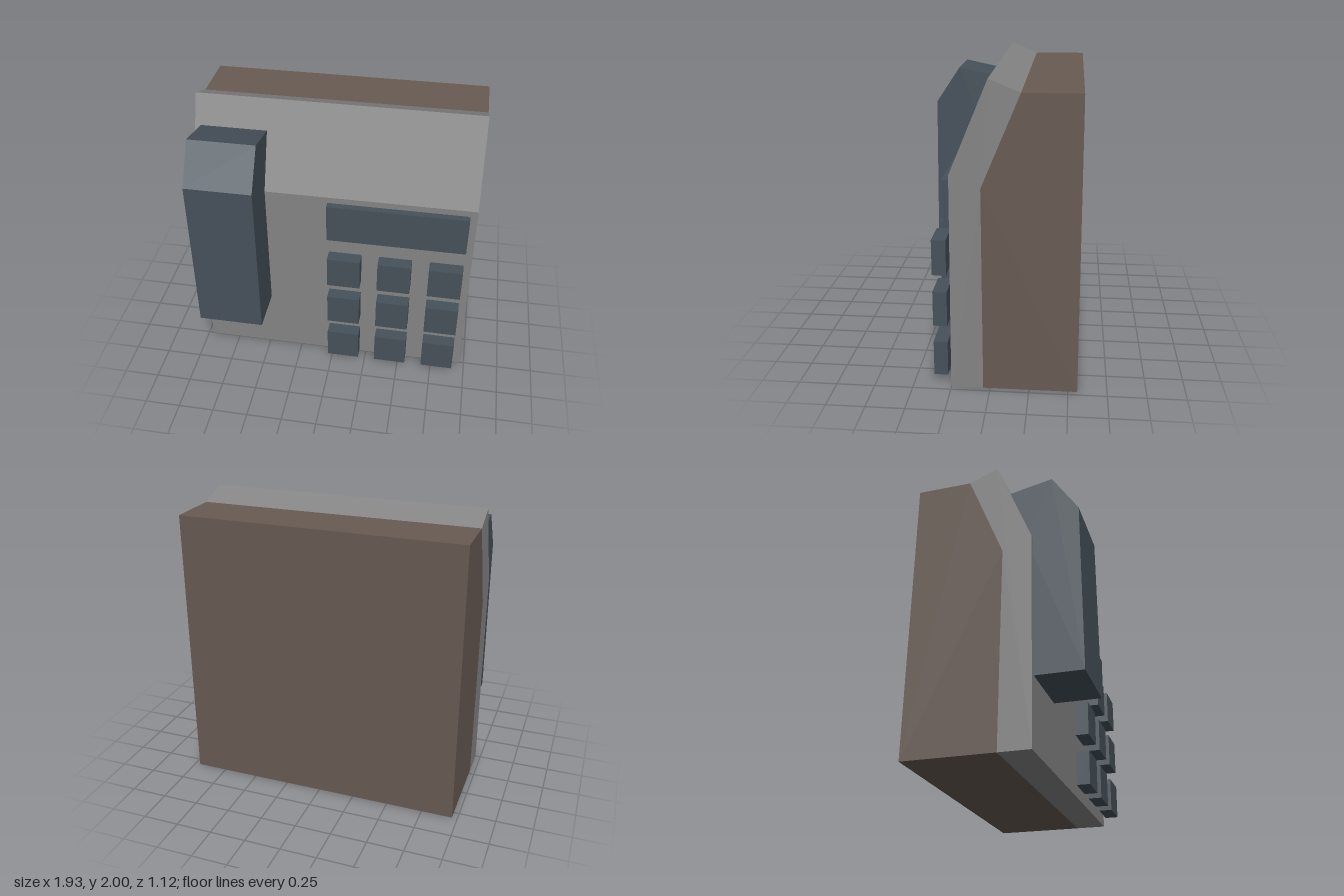
import * as THREE from 'three';

const flat = (name, color) => {
  const m = new THREE.MeshStandardMaterial({ color });
  m.name = name;
  return m;
};

export function createModel() {
  const group = new THREE.Group();
  const brown = flat('brown', 0x685b53);
  const grey = flat('grey', 0x848484);
  const slate = flat('slate', 0x46515a);

  const add = (name, geometry, material) => {
    const mesh = new THREE.Mesh(geometry, material);
    mesh.name = name;
    group.add(mesh);
    return mesh;
  };

  // Side profile of [z, y] points extruded from x0 to x1
  const profile = (points, x0, x1) => {
    const shape = new THREE.Shape(points.map(([z, y]) => new THREE.Vector2(z, y)));
    const g = new THREE.ExtrudeGeometry(shape, { depth: x1 - x0, bevelEnabled: false });
    return g.rotateY(-Math.PI / 2).translate(x1, 0, 0);
  };

  // Box given by its limits
  const block = (x0, x1, y0, y1, z0, z1) =>
    new THREE.BoxGeometry(x1 - x0, y1 - y0, z1 - z0)
      .translate((x0 + x1) / 2, (y0 + y1) / 2, (z0 + z1) / 2);

  // Rear housing
  add('housing', profile(
    [[-0.56, 0], [0.045, 0], [0.053, 1.34], [-0.187, 1.92], [-0.553, 1.92]],
    -0.963, 0.963), brown);

  // Bent front panel, overhanging the housing at the top
  add('frontPanel', profile(
    [[0.045, 0], [0.253, 0], [0.245, 1.42], [0.005, 2], [-0.187, 1.92], [0.053, 1.34]],
    -0.963, 0.963), grey);

  // Handset, sunk into the panel
  add('handset', profile(
    [[0.2, 0.465], [0.56, 0.465], [0.547, 1.6], [0.372, 1.862], [0.03, 1.79], [0.2, 1.42]],
    -0.925, -0.47), slate);

  // Display
  add('display', block(-0.04, 0.915, 1.095, 1.377, 0.2, 0.294), slate);

  // Keypad, standing slightly proud of the panel
  for (let row = 0; row < 3; row++) {
    for (let col = 0; col < 3; col++) {
      const x = 0.09 + col * 0.352, y = 0.169 + row * 0.349;
      add('key', block(x - 0.115, x + 0.115, y - 0.117, y + 0.117, 0.28, 0.371), slate);
    }
  }
  return group;
}
